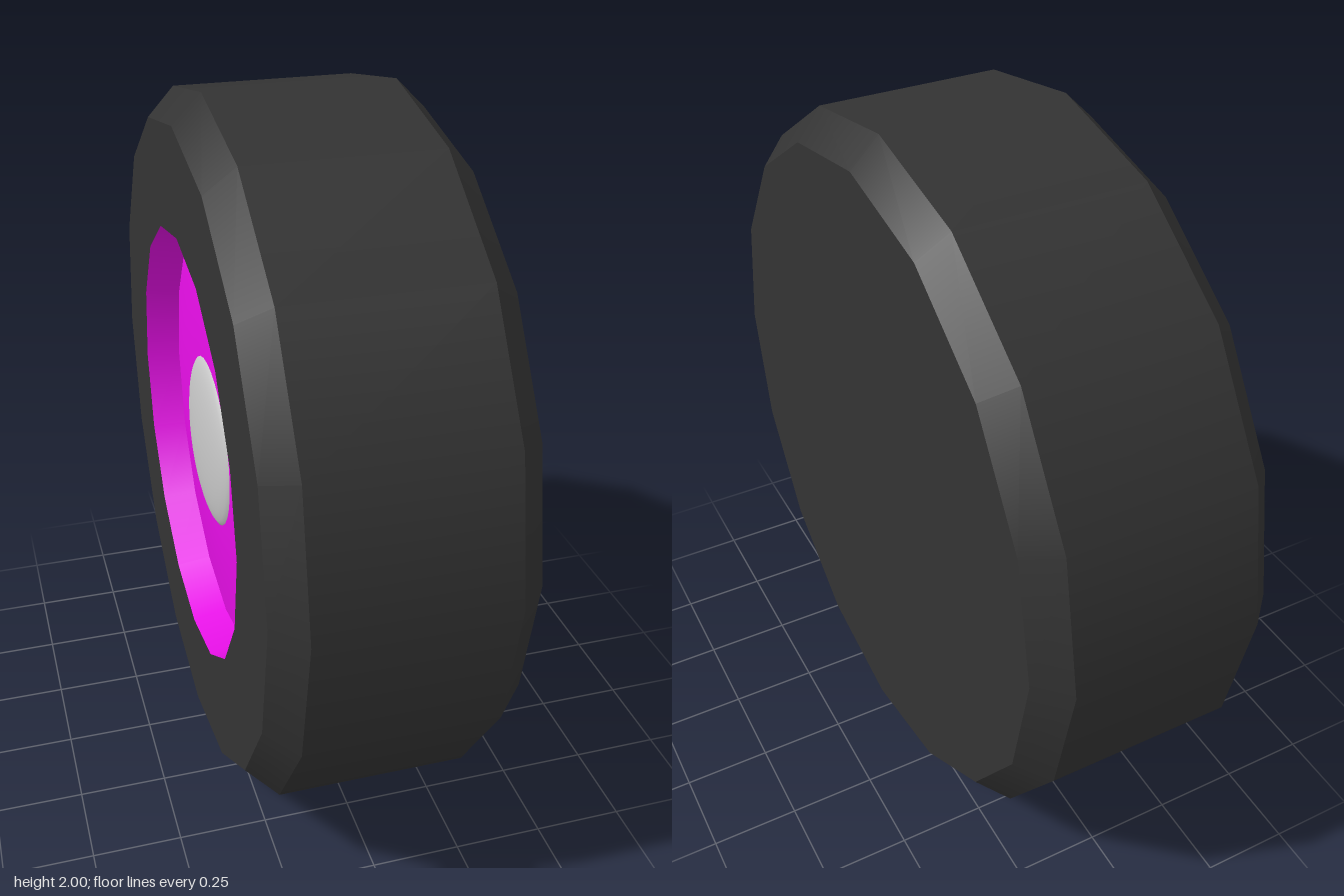
import * as THREE from 'three';
import { mergeGeometries } from 'three/addons/utils/BufferGeometryUtils.js';

const SIDES = 16;

// Revolve [radius, axial] points around the wheel axle; axial + points to -x
function revolve(points, sides = SIDES) {
  const geo = new THREE.LatheGeometry(points.map(([r, a]) => new THREE.Vector2(r, a)), sides);
  return geo.rotateZ(Math.PI / 2);
}

// One lathe per profile segment, so every profile corner stays a sharp edge
function revolveCreased(points) {
  return mergeGeometries(points.slice(1).map((p, i) => revolve([points[i], p])));
}

export function createModel() {
  const rubber = new THREE.MeshStandardMaterial({ color: 0x333333 });
  rubber.name = 'darkRubber';
  const magenta = new THREE.MeshStandardMaterial({ color: 0xe80fe8 });
  magenta.name = 'magentaRim';
  const metal = new THREE.MeshStandardMaterial({ color: 0xc8c8c8 });
  metal.name = 'greyMetal';

  const wheel = new THREE.Group();
  wheel.name = 'wheel';
  const add = (name, geo, material) => {
    const mesh = new THREE.Mesh(geo, material);
    mesh.name = name;
    mesh.position.y = 1;
    wheel.add(mesh);
  };

  // Tyre: closed inner face, chamfered tread, outer sidewall around the rim
  add('tyre', revolveCreased([
    [0, -0.34], [0.92, -0.34], [1, -0.26], [1, 0.26], [0.92, 0.34], [0.62, 0.34],
  ]), rubber);

  // Recessed rim wall and its slightly bulging disc
  add('rimWall', revolve([[0.62, 0.34], [0.6, 0.24]]), magenta);
  add('rimDisc', revolve([[0.6, 0.24], [0.43, 0.26], [0.25, 0.27], [0, 0.272]]), magenta);

  // Hub cap: shallow round dome
  const dome = [];
  for (let i = 0; i <= 8; i++) {
    const t = (i / 8) * Math.PI / 2;
    dome.push([0.25 * Math.cos(t), 0.262 + 0.045 * Math.sin(t)]);
  }
  dome[8][0] = 0;
  add('hubCap', revolve(dome, 32), metal);

  return wheel;
}
